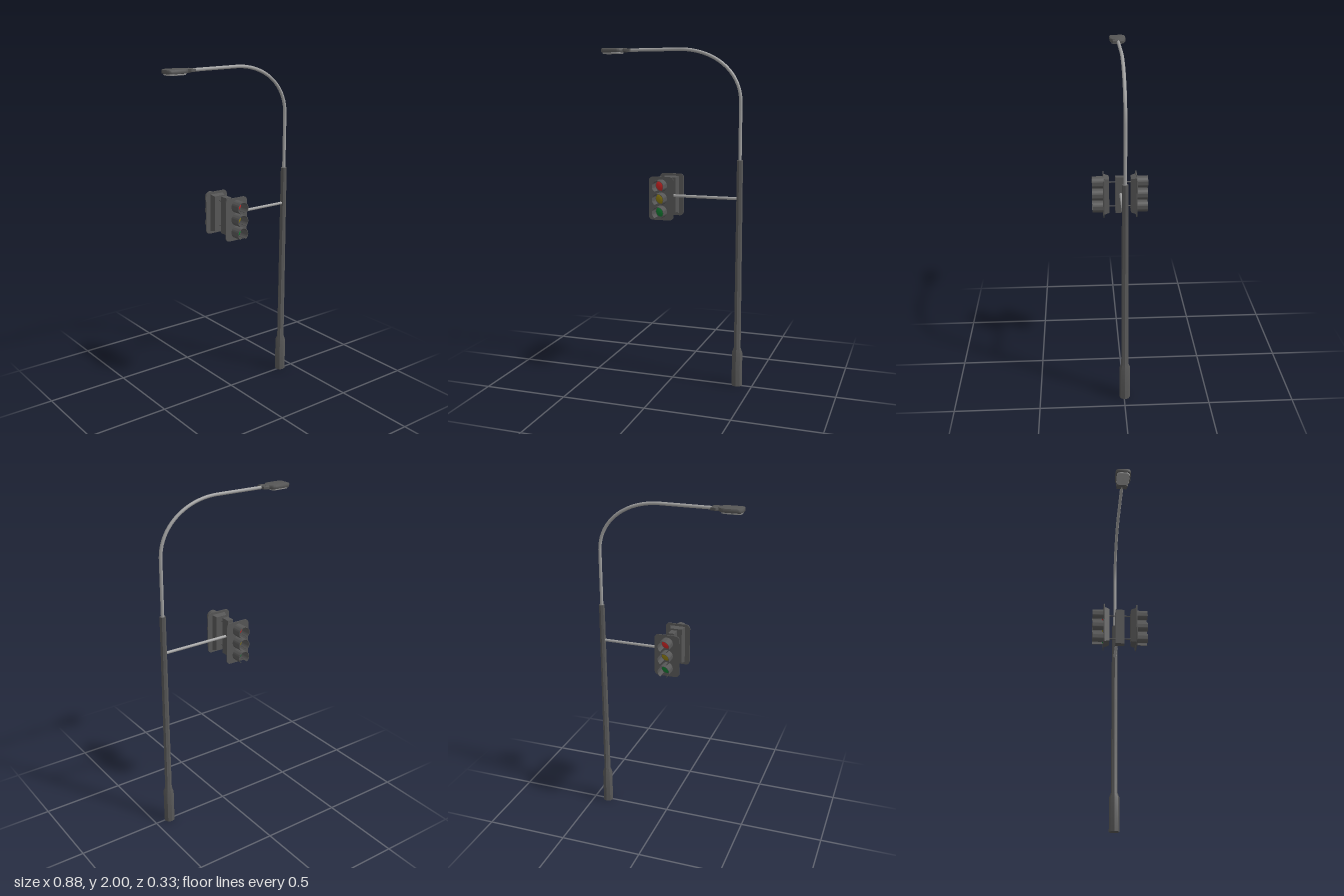
import * as THREE from 'three';
import { toCreasedNormals } from 'three/addons/utils/BufferGeometryUtils.js';

const material = (name, color) => {
  const m = new THREE.MeshStandardMaterial({ color });
  m.name = name;
  return m;
};

export function createModel() {
  const dark = material('darkMetal', 0x565656);
  const pale = material('paleMetal', 0xa0a0a0);
  const red = material('redLens', 0xcc2626);
  const yellow = material('yellowLens', 0x8f7d12);
  const green = material('greenLens', 0x127c32);

  const model = new THREE.Group();
  model.name = 'trafficLightPole';
  const poleX = 0.408, poleZ = -0.004, signalX = -0.037;

  const add = (parent, name, geometry, mat, x = 0, y = 0, z = 0) => {
    const mesh = new THREE.Mesh(geometry, mat);
    mesh.name = name;
    mesh.position.set(x, y, z);
    parent.add(mesh);
    return mesh;
  };
  const creased = (geometry, angle = 0.6) => toCreasedNormals(geometry, angle);

  // Octagonal pole: wide foot, short taper, long slim shaft
  const profile = [[0, 0], [0.032, 0], [0.032, 0.205], [0.021, 0.235], [0.018, 1.36], [0, 1.36]]
    .map(([r, y]) => new THREE.Vector2(r, y));
  add(model, 'pole', creased(new THREE.LatheGeometry(profile, 8), 0.5), dark, poleX, 0, poleZ);

  // Bent lamp pipe
  const path = new THREE.CurvePath();
  const v = (x, y) => new THREE.Vector3(x, y, 0);
  path.add(new THREE.LineCurve3(v(poleX, 1.35), v(poleX, 1.69)));
  path.add(new THREE.CubicBezierCurve3(v(poleX, 1.69), v(poleX, 1.87), v(0.24, 1.99), v(0.04, 1.99)));
  path.add(new THREE.LineCurve3(v(0.04, 1.99), v(-0.28, 1.988)));
  add(model, 'lampPipe', new THREE.TubeGeometry(path, 48, 0.01, 8), pale, 0, 0, poleZ);

  // Lamp head: flat bevelled plan shapes, laid horizontally
  const lamp = new THREE.Group();
  lamp.name = 'lampHead';
  lamp.position.z = poleZ;
  model.add(lamp);
  const slab = (shape, depth, bevel) => {
    const g = new THREE.ExtrudeGeometry(shape, {
      depth, bevelThickness: bevel, bevelSize: bevel, bevelOffset: -bevel, bevelSegments: 2, curveSegments: 5,
    });
    g.rotateX(Math.PI / 2);
    return creased(g);
  };
  const headShape = new THREE.Shape();
  headShape.moveTo(-0.285, -0.022);
  headShape.lineTo(-0.302, -0.022);
  headShape.quadraticCurveTo(-0.318, -0.046, -0.335, -0.047);
  headShape.lineTo(-0.415, -0.047);
  headShape.quadraticCurveTo(-0.439, -0.045, -0.439, -0.022);
  headShape.lineTo(-0.439, 0.022);
  headShape.quadraticCurveTo(-0.439, 0.045, -0.415, 0.047);
  headShape.lineTo(-0.335, 0.047);
  headShape.quadraticCurveTo(-0.318, 0.046, -0.302, 0.022);
  headShape.lineTo(-0.285, 0.022);
  add(lamp, 'lampHousing', slab(headShape, 0.012, 0.006), dark, 0, 1.994, 0);

  const collarShape = new THREE.Shape(
    [[-0.303, -0.022], [-0.291, -0.037], [-0.259, -0.031], [-0.259, 0.031], [-0.291, 0.037], [-0.303, 0.022]]
      .map(([x, z]) => new THREE.Vector2(x, z)));
  add(lamp, 'lampCollar', slab(collarShape, 0.01, 0.004), dark, 0, 1.994, 0);

  // Rounded rectangle centred on the origin
  const roundedRect = (w, h, r) => {
    const s = new THREE.Shape();
    const x = w / 2 - r, y = h / 2 - r;
    s.absarc(x, y, r, 0, Math.PI / 2);
    s.absarc(-x, y, r, Math.PI / 2, Math.PI);
    s.absarc(-x, -y, r, Math.PI, Math.PI * 1.5);
    s.absarc(x, -y, r, Math.PI * 1.5, Math.PI * 2);
    s.closePath();
    return s;
  };
  add(lamp, 'lampLens', slab(roundedRect(0.118, 0.078, 0.022), 0.008, 0.007), pale, -0.375, 1.982, 0);

  // Crossarm and the centre bracket carrying both signals
  const crossarm = add(model, 'crossarm', new THREE.CylinderGeometry(0.009, 0.009, 0.43, 8), pale, 0.19, 1.136, poleZ);
  crossarm.rotation.z = Math.PI / 2;
  add(model, 'centreBracket', new THREE.BoxGeometry(0.038, 0.225, 0.054), dark, signalX, 1.13, 0);
  for (const y of [1.055, 1.208]) {
    const strut = add(model, 'strut', new THREE.CylinderGeometry(0.004, 0.004, 0.15, 8), dark, signalX, y, 0);
    strut.rotation.x = Math.PI / 2;
  }

  // Shared signal geometries
  const plate = creased(new THREE.ExtrudeGeometry(roundedRect(0.152, 0.256, 0.025),
    { depth: 0.006, bevelEnabled: false, curveSegments: 6 }));

  let housing = new THREE.BoxGeometry(0.092, 0.228, 0.032);
  const p = housing.attributes.position;
  for (let i = 0; i < p.count; i++) {
    if (p.getZ(i) < 0) p.setXY(i, p.getX(i) * 0.76, p.getY(i) * 0.93);
  }
  housing = creased(housing, 0.1);

  // Tunnel visor, slotted underneath
  const gap = 0.55, start = -Math.PI / 2 + gap, end = Math.PI * 1.5 - gap;
  const ring = new THREE.Shape();
  ring.absarc(0, 0, 0.0365, start, end, false);
  ring.absarc(0, 0, 0.0335, end, start, true);
  ring.closePath();
  const visor = creased(new THREE.ExtrudeGeometry(ring, { depth: 0.066, bevelEnabled: false, curveSegments: 20 }));

  // Shallow domed lens
  const lens = new THREE.SphereGeometry(0.031, 20, 5, 0, Math.PI * 2, 0, Math.PI / 2);
  lens.scale(1, 0.3, 1);
  lens.rotateX(Math.PI / 2);

  // Two identical signals, front and back
  for (const [name, turn] of [['frontSignal', 0], ['backSignal', Math.PI]]) {
    const signal = new THREE.Group();
    signal.name = name;
    signal.position.set(signalX, 1.131, 0);
    signal.rotation.y = turn;
    model.add(signal);
    add(signal, 'backplate', plate, dark, 0, 0, 0.095);
    add(signal, 'housing', housing, dark, 0, 0, 0.081);
    [red, yellow, green].forEach((colour, i) => {
      const y = 0.077 * (1 - i);
      add(signal, 'visor', visor, dark, 0, y, 0.1);
      add(signal, colour.name, lens, colour, 0, y, 0.1008);
    });
  }
  return model;
}
